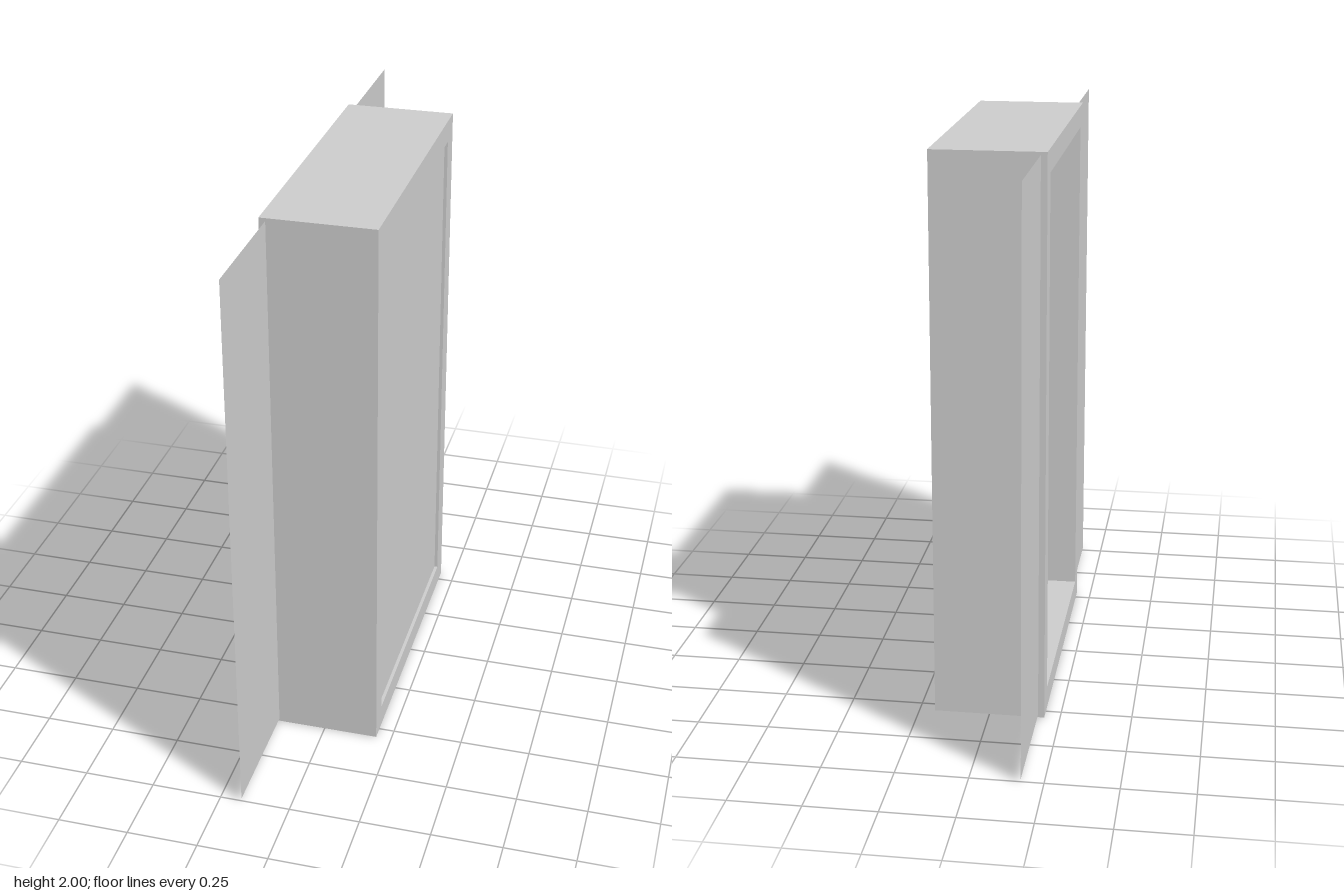
import * as THREE from 'three';

const material = new THREE.MeshStandardMaterial({ color: 0xcccccc, side: THREE.DoubleSide });
const W = 0.548, H = 2, D = 0.195;            // half width, height, half depth of the casing
const OW = 0.47, O0 = 0.08, O1 = 1.92;        // doorway half width, bottom and top
const DOOR = -0.135, DOOR_BACK = -0.183;      // door front and back planes

function add(parent, name, geometry, x = 0, y = 0, z = 0) {
  const mesh = new THREE.Mesh(geometry, material);
  mesh.name = name;
  mesh.position.set(x, y, z);
  parent.add(mesh);
  return mesh;
}

function trace(path, x0, y0, x1, y1) {
  path.moveTo(x0, y0);
  path.lineTo(x1, y0);
  path.lineTo(x1, y1);
  path.lineTo(x0, y1);
  path.closePath();
  return path;
}

// Flat rectangle with rectangular holes, facing +z
function sheet(rect, holes) {
  const shape = trace(new THREE.Shape(), ...rect);
  for (const h of holes) shape.holes.push(trace(new THREE.Path(), ...h));
  return new THREE.ShapeGeometry(shape);
}

// Sunken panel: sloped moulding leading to a flat field
function sunkenPanel(x0, y0, x1, y1, depth, inset) {
  const ring = (i, z) => [[x0 + i, y0 + i, z], [x1 - i, y0 + i, z], [x1 - i, y1 - i, z], [x0 + i, y1 - i, z]];
  const a = ring(0, 0), b = ring(inset, -depth), p = [];
  const quad = (q, r, s, t) => p.push(...q, ...r, ...s, ...q, ...s, ...t);
  for (let i = 0; i < 4; i++) {
    const j = (i + 1) % 4;
    quad(a[i], a[j], b[j], b[i]);
  }
  quad(...b);
  const g = new THREE.BufferGeometry();
  g.setAttribute('position', new THREE.Float32BufferAttribute(p, 3));
  g.computeVertexNormals();
  return g;
}

function createCasing() {
  const casing = new THREE.Group();
  casing.name = 'casing';
  const hole = [-OW, O0, OW, O1];

  // Frame faces around the doorway
  add(casing, 'doorwayFrame', sheet([-W, 0, W, H], [hole]), 0, 0, D);
  add(casing, 'backFrame', sheet([-W, 0, W, H], [hole]).rotateY(Math.PI), 0, 0, -D);

  // Outer sides and top; the underside is open
  for (const s of [-1, 1]) {
    add(casing, 'outerSide', new THREE.PlaneGeometry(2 * D, H).rotateY(s * Math.PI / 2), s * W, H / 2, 0);
    add(casing, 'doorwayJamb', new THREE.PlaneGeometry(2 * D, O1 - O0).rotateY(-s * Math.PI / 2), s * OW, (O0 + O1) / 2, 0);
  }
  add(casing, 'top', new THREE.PlaneGeometry(2 * W, 2 * D).rotateX(-Math.PI / 2), 0, H, 0);
  add(casing, 'threshold', new THREE.PlaneGeometry(2 * OW, 2 * D).rotateX(-Math.PI / 2), 0, O0, 0);
  add(casing, 'lintel', new THREE.PlaneGeometry(2 * OW, 2 * D).rotateX(Math.PI / 2), 0, O1, 0);
  return casing;
}

function createDoor() {
  const door = new THREE.Group();
  door.name = 'door';
  const panels = [];
  for (const [y0, y1] of [[0.19, 0.88], [1.11, 1.34], [1.46, 1.81]]) {
    panels.push([0.12, y0, 0.36, y1], [-0.36, y0, -0.12, y1]);
  }
  add(door, 'doorFace', sheet([-OW, O0, OW, O1], panels), 0, 0, DOOR);
  for (const p of panels) add(door, 'doorPanel', sunkenPanel(...p, 0.026, 0.01), 0, 0, DOOR);
  add(door, 'doorBack', new THREE.PlaneGeometry(2 * OW, O1 - O0).rotateY(Math.PI), 0, (O0 + O1) / 2, DOOR_BACK);
  return door;
}

function createKnocker() {
  const knocker = new THREE.Group();
  knocker.name = 'knocker';
  knocker.position.set(0, 1.42, DOOR);

  // Ornate back plate, mirrored about its centre line
  const half = [[0, 0.22], [0.03, 0.17], [0.06, 0.16], [0.045, 0.11], [0.085, 0.08], [0.07, 0.02],
    [0.085, -0.05], [0.05, -0.09], [0.055, -0.14], [0.025, -0.16], [0, -0.22]];
  const outline = [...half, ...half.slice(1, -1).reverse().map(([x, y]) => [-x, y])];
  const shape = new THREE.Shape(outline.map(([x, y]) => new THREE.Vector2(x, y)));
  add(knocker, 'backPlate', new THREE.ExtrudeGeometry(shape, { depth: 0.008, bevelEnabled: false }));

  // Pivot, hanging ring and striker
  add(knocker, 'pivot', new THREE.CylinderGeometry(0.016, 0.02, 0.04, 16).rotateX(Math.PI / 2), 0, 0.07, 0.025);
  add(knocker, 'ring', new THREE.TorusGeometry(0.055, 0.009, 10, 32), 0, 0.015, 0.04);
  add(knocker, 'striker', new THREE.SphereGeometry(0.024, 18, 12), 0, -0.04, 0.042);
  return knocker;
}

export function createModel() {
  const model = new THREE.Group();
  model.name = 'doorway';
  const body = new THREE.Group();
  body.name = 'doorwayBody';
  body.rotation.y = -Math.PI / 2;   // the doorway opens towards -x
  body.add(createCasing(), createDoor(), createKnocker());

  // Thin wall wings either side of the casing
  for (const s of [-1, 1]) {
    add(body, 'wallWing', new THREE.PlaneGeometry(1 - W, 1.98), s * (1 + W) / 2, 1.0, 0.173);
  }
  model.add(body);
  return model;
}
